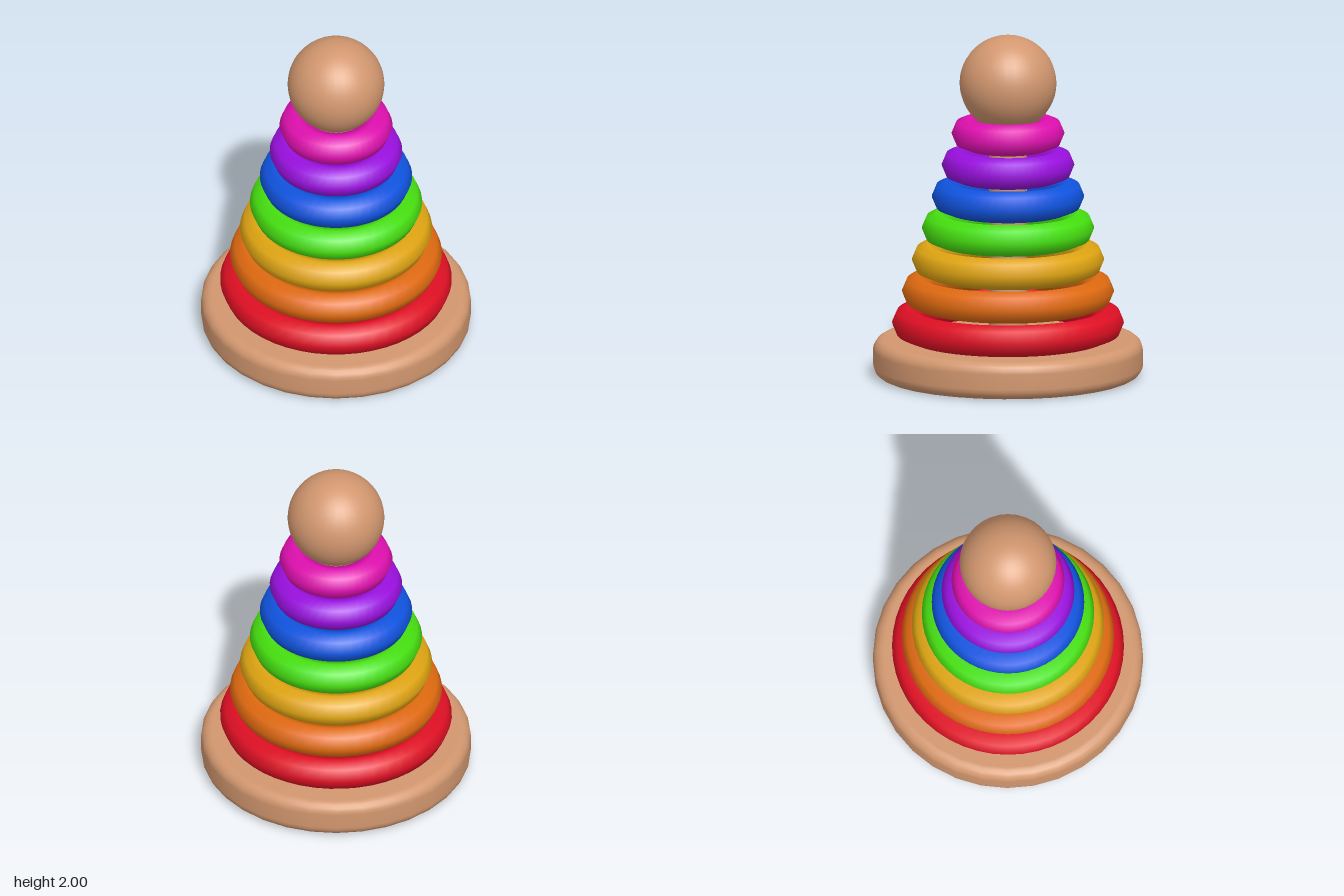
import * as THREE from 'three';

const material = (name, color) => {
  const m = new THREE.MeshStandardMaterial({ color });
  m.name = name;
  return m;
};

export function createModel() {
  const model = new THREE.Group();
  model.name = 'stackingRings';
  const wood = material('wood', 0xd2976f);

  const add = (name, geometry, mat, y = 0) => {
    const mesh = new THREE.Mesh(geometry, mat);
    mesh.name = name;
    mesh.position.y = y;
    model.add(mesh);
  };

  // Base: round disc with rounded edges
  const R = 0.78, H = 0.22, r = 0.065, steps = 5;
  const profile = [new THREE.Vector2(0, 0)];
  for (const [cy, start] of [[r, -Math.PI / 2], [H - r, 0]]) {
    for (let i = 0; i <= steps; i++) {
      const a = start + (i / steps) * Math.PI / 2;
      profile.push(new THREE.Vector2(R - r + r * Math.cos(a), cy + r * Math.sin(a)));
    }
  }
  profile.push(new THREE.Vector2(0, H));
  add('base', new THREE.LatheGeometry(profile, 32), wood);

  // Pole through the rings
  add('pole', new THREE.CylinderGeometry(0.11, 0.11, 1.4, 24), wood, 0.85);

  // Rings, shrinking upward
  const colours = [
    ['red', 0xe01024], ['orange', 0xe06a10], ['yellow', 0xe0a512], ['green', 0x46e010],
    ['blue', 0x1054e0], ['purple', 0x9a10e0], ['pink', 0xe010b0],
  ];
  const tube = 0.093;
  colours.forEach(([name, hex], i) => {
    const ring = new THREE.TorusGeometry(0.67 - tube - i * 0.0573, tube, 8, 48);
    ring.rotateX(-Math.PI / 2);
    add(name + 'Ring', ring, material(name, hex), 0.313 + i * 0.1857);
  });

  // Ball on top
  add('topBall', new THREE.SphereGeometry(0.28, 32, 24), wood, 1.72);
  return model;
}
